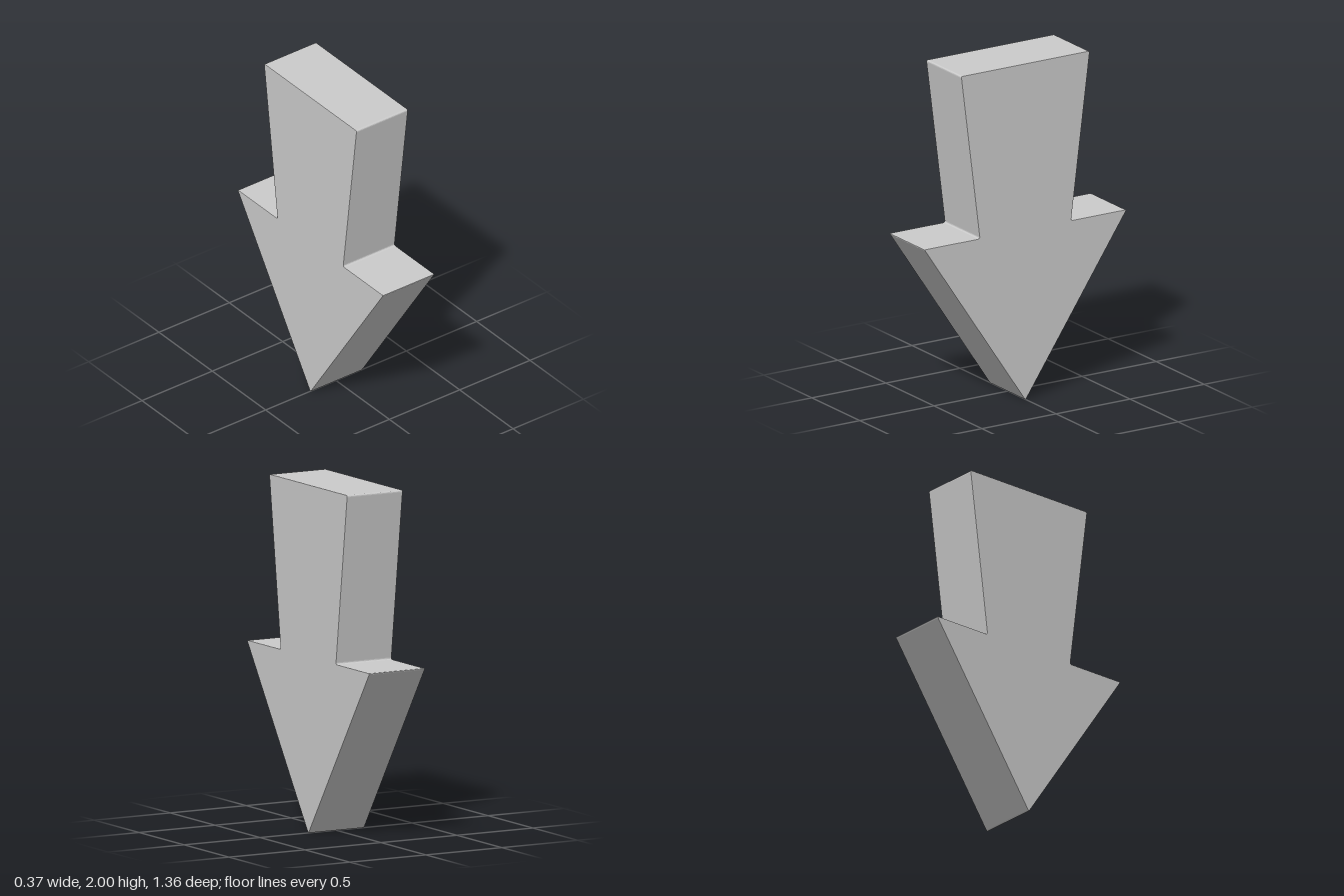
import * as THREE from 'three';

const HALF_WIDTH = 0.183;
const BEVEL = 0.003;
const CORNER = 0.012;

// Closed outline with every corner slightly softened
function softOutline(points, trim) {
  const shape = new THREE.Shape();
  const n = points.length;
  points.forEach((p, i) => {
    const prev = points[(i + n - 1) % n];
    const next = points[(i + 1) % n];
    const a = p.clone().add(prev.clone().sub(p).setLength(trim));
    const b = p.clone().add(next.clone().sub(p).setLength(trim));
    if (i === 0) shape.moveTo(a.x, a.y);
    else shape.lineTo(a.x, a.y);
    shape.quadraticCurveTo(p.x, p.y, b.x, b.y);
  });
  shape.closePath();
  return shape;
}

export function createModel() {
  const group = new THREE.Group();
  group.name = 'downArrow';

  // Half outline from tip to top of the tapered shaft, then mirrored
  const half = [[0.683, 1.012], [0.308, 1.012], [0.434, 2]];
  const mirrored = half.map(([z, y]) => [-z, y]).reverse();
  const points = [[0, -0.003], ...half, ...mirrored].map(([z, y]) => new THREE.Vector2(z, y));

  // Thick plate with fine bevels, turned so its thickness runs along x
  const depth = 2 * (HALF_WIDTH - BEVEL);
  const geometry = new THREE.ExtrudeGeometry(softOutline(points, CORNER), {
    depth,
    curveSegments: 4,
    bevelEnabled: true,
    bevelThickness: BEVEL,
    bevelSize: BEVEL,
    bevelOffset: -BEVEL,
    bevelSegments: 2,
  });
  geometry.translate(0, 0, -depth / 2);
  geometry.rotateY(Math.PI / 2);

  const arrow = new THREE.Mesh(geometry, new THREE.MeshStandardMaterial({ color: 0xcccccc }));
  arrow.name = 'arrowBody';
  group.add(arrow);
  return group;
}
